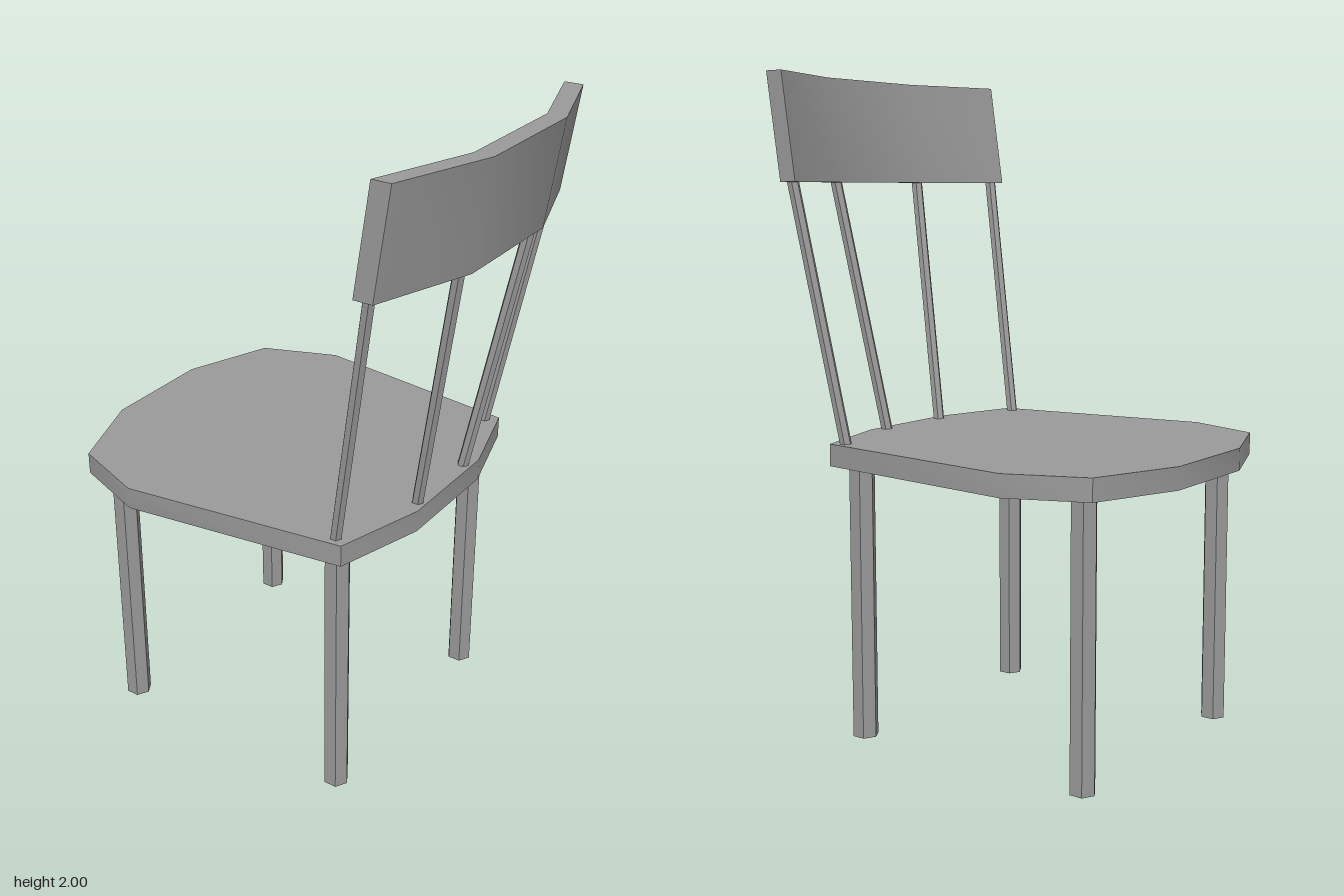
import * as THREE from 'three';
import { toCreasedNormals } from 'three/addons/utils/BufferGeometryUtils.js';

const GREY = 0x9b9b9b;
const smooth = new THREE.MeshStandardMaterial({ color: GREY });
const faceted = new THREE.MeshStandardMaterial({ color: GREY, flatShading: true, side: THREE.DoubleSide });

// Horizontal slab from half an outline of [x, z] points, mirrored across z = 0
function slab(half, height) {
  const outline = [...half, ...half.map(([x, z]) => [x, -z]).reverse()];
  const shape = new THREE.Shape(outline.map(([x, z]) => new THREE.Vector2(x, -z)));
  return new THREE.ExtrudeGeometry(shape, { depth: height, bevelEnabled: false }).rotateX(-Math.PI / 2);
}

// Open six-sided rod between two points
function rod(name, from, to, radius) {
  const a = new THREE.Vector3(...from), b = new THREE.Vector3(...to);
  const dir = b.clone().sub(a);
  const geo = new THREE.CylinderGeometry(radius, radius, dir.length(), 6, 1, true).rotateY(Math.PI / 2);
  const mesh = new THREE.Mesh(geo, faceted);
  mesh.name = name;
  mesh.position.copy(a).add(b).multiplyScalar(0.5);
  mesh.quaternion.setFromUnitVectors(new THREE.Vector3(0, 1, 0), dir.normalize());
  return mesh;
}

export function createModel() {
  const chair = new THREE.Group();
  chair.name = 'chair';

  // Faceted seat, wider toward its front edge at -x
  const seatGeo = slab([[-0.652, 0.18], [-0.547, 0.456], [-0.31, 0.547], [0.378, 0.456], [0.457, 0.18]], 0.067);
  const seat = new THREE.Mesh(toCreasedNormals(seatGeo, 0.53), smooth);
  seat.name = 'seat';
  seat.position.y = 0.842;
  chair.add(seat);

  // Curved top rail, sheared so it leans back
  const railGeo = slab([[0.545, 0.2], [0.443, 0.512], [0.502, 0.512], [0.604, 0.2]], 0.32);
  const p = railGeo.attributes.position;
  for (let i = 0; i < p.count; i++) p.setX(i, p.getX(i) + 0.146 * p.getY(i));
  const rail = new THREE.Mesh(toCreasedNormals(railGeo, 0.53), smooth);
  rail.name = 'topRail';
  rail.position.y = 1.68;
  chair.add(rail);

  for (const s of [1, -1]) {
    const side = s > 0 ? 'Left' : 'Right';
    // Legs
    chair.add(rod('frontLeg' + side, [-0.473, 0, s * 0.382], [-0.473, 0.85, s * 0.382], 0.04));
    chair.add(rod('rearLeg' + side, [0.318, 0, s * 0.382], [0.318, 0.85, s * 0.382], 0.04));
    // Splayed back spindles
    chair.add(rod('outerSpindle' + side, [0.34, 0.9, s * 0.425], [0.479, 1.7, s * 0.488], 0.018));
    chair.add(rod('innerSpindle' + side, [0.428, 0.9, s * 0.132], [0.57, 1.7, s * 0.2], 0.018));
  }
  return chair;
}
